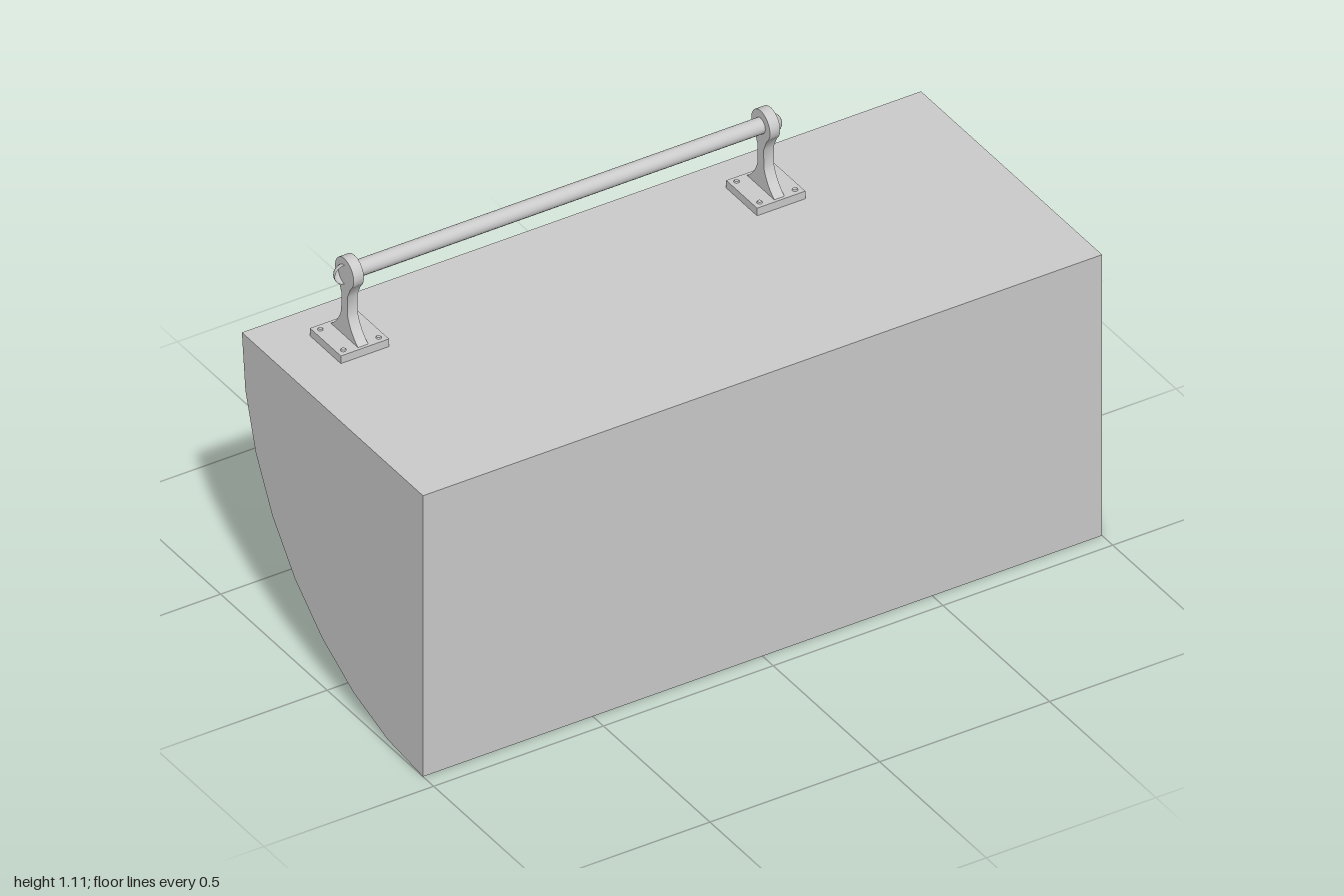
import * as THREE from 'three';
import { toCreasedNormals } from 'three/addons/utils/BufferGeometryUtils.js';

const mat = new THREE.MeshStandardMaterial({ color: 0xcccccc });
const thinMat = new THREE.MeshStandardMaterial({ color: 0xcccccc, side: THREE.DoubleSide });
const DEG = Math.PI / 180, STEP = 11.25;
const RECESS_LEFT = 0.057, RECESS_RIGHT = -0.61;

function add(parent, name, geometry, material = mat) {
  const mesh = new THREE.Mesh(geometry, material);
  mesh.name = name;
  parent.add(mesh);
  return mesh;
}

// Point on the rounded back, as (-z, y), from an angle below the top
const arc = (deg, r) => new THREE.Vector2(-0.45 + r * Math.cos(deg * DEG), 0.85 - r * Math.sin(deg * DEG));

// Extrudes a (-z, y) outline along x
function sideExtrude(shape, x0, x1, crease = 0.4, curveSegments = 8) {
  const g = new THREE.ExtrudeGeometry(shape, { depth: x1 - x0, bevelEnabled: false, curveSegments });
  g.rotateY(Math.PI / 2).translate(x0, 0, 0);
  return toCreasedNormals(g, crease);
}

// Quarter-round section, optionally cut back for the recess
function bodySection(recessed) {
  const pts = [new THREE.Vector2(-0.45, 0.85)];
  for (let i = 0; i <= 8; i++) {
    const a = i * STEP;
    if (recessed && i === 7) pts.push(arc(a - 4, 0.77));
    pts.push(arc(a, recessed && i > 1 && i < 7 ? 0.77 : 0.85));
    if (recessed && i === 1) pts.push(arc(a, 0.77));
  }
  return new THREE.Shape(pts);
}

// Overlapping slats with a stepped lower edge
function slatGeometry(index) {
  const cols = [[0, 0], [0.1, -0.018], [0.2, 0.032], [0.45, 0.032], [0.54, -0.018], [0.667, 0]];
  const edges = [STEP, 17.3, 29.2, 41.2, 54, 7 * STEP];
  const last = index === 4;
  const point = ([s, offset], edge, r) => {
    const straight = edge === 0 || edge === 5;
    const p = arc(edges[edge] + (straight ? 0 : offset / 0.81 / DEG), r);
    return [RECESS_LEFT - s, p.y, -p.x];
  };
  const rows = cols.map(c => [
    point(c, index, 0.799),
    point(c, index + 1, last ? 0.849 : 0.815),
    point(c, index + 1, last ? 0.835 : 0.797),
  ]);
  const pos = [];
  for (let j = 0; j < rows.length - 1; j++) {
    for (let k = 0; k < 2; k++) {
      const a = rows[j][k], b = rows[j][k + 1], c = rows[j + 1][k + 1], d = rows[j + 1][k];
      pos.push(...a, ...b, ...c, ...a, ...c, ...d);
    }
  }
  const g = new THREE.BufferGeometry();
  g.setAttribute('position', new THREE.Float32BufferAttribute(pos, 3));
  g.computeVertexNormals();
  return g;
}

// Flared post with a round eye at the top, as (-z, y)
function bracketShape() {
  const s = new THREE.Shape();
  const c = 0.225, eyeY = 1.061, r = 0.044;
  const a = -50 * DEG;
  s.moveTo(c - 0.068, 0.87);
  s.lineTo(c + 0.068, 0.87);
  s.quadraticCurveTo(c + 0.03, 0.895, c + 0.015, 0.94);
  s.lineTo(c + 0.014, 0.995);
  s.lineTo(c + r * Math.cos(a), eyeY + r * Math.sin(a));
  s.absarc(c, eyeY, r, a, Math.PI - a, false);
  s.lineTo(c - 0.014, 0.995);
  s.lineTo(c - 0.015, 0.94);
  s.quadraticCurveTo(c - 0.03, 0.895, c - 0.068, 0.87);
  return s;
}

// Domed head split by a slot, pointing along +x
function slottedHead() {
  const head = new THREE.Group();
  head.name = 'slottedHead';
  for (const side of [1, -1]) {
    const half = new THREE.Group();
    half.name = 'headHalf';
    add(half, 'dome', new THREE.SphereGeometry(0.028, 12, 6, 0, Math.PI, 0, Math.PI / 2), thinMat);
    add(half, 'slotWall', new THREE.CircleGeometry(0.028, 12, 0, Math.PI), thinMat);
    // Dome top to +x, flat side towards the slot
    const x = new THREE.Vector3(0, 0, -1), y = new THREE.Vector3(1, 0, 0), z = new THREE.Vector3(0, 1, 0);
    half.quaternion.setFromRotationMatrix(new THREE.Matrix4().makeBasis(x, y, z.clone()));
    if (side < 0) half.rotateY(Math.PI);
    half.position.y = side * 0.004;
    head.add(half);
  }
  return head;
}

export function createModel() {
  const model = new THREE.Group();
  model.name = 'housing';

  // Quarter-round body with a recess in its back
  add(model, 'bodyLeft', sideExtrude(bodySection(false), RECESS_LEFT, 1));
  add(model, 'bodyMiddle', sideExtrude(bodySection(true), RECESS_RIGHT, RECESS_LEFT));
  add(model, 'bodyRight', sideExtrude(bodySection(false), -1, RECESS_RIGHT));
  for (let i = 0; i < 5; i++) add(model, 'recessSlat', slatGeometry(i), thinMat);

  // Dome in a flared collar
  const lamp = new THREE.Group();
  lamp.name = 'domeLamp';
  const collar = [[0.207, -0.095], [0.148, 0], [0.13, 0]].map(p => new THREE.Vector2(...p));
  add(lamp, 'collar', toCreasedNormals(new THREE.LatheGeometry(collar, 32), 0.5), thinMat);
  add(lamp, 'dome', new THREE.SphereGeometry(0.14, 32, 16)).position.y = -0.007;
  lamp.position.set(0.565, 0.385, -0.31);
  lamp.quaternion.setFromUnitVectors(new THREE.Vector3(0, 1, 0), new THREE.Vector3(0, -0.51, -0.86).normalize());
  model.add(lamp);

  // Rail on two bolted brackets
  const rail = new THREE.Group();
  rail.name = 'handRail';
  const ends = [-0.793, 0.433];
  for (const x of ends) {
    const out = x < 0 ? -1 : 1;
    add(rail, 'basePlate', new THREE.BoxGeometry(0.142, 0.024, 0.145)).position.set(x, 0.861, -0.225);
    add(rail, 'bracket', sideExtrude(bracketShape(), x - 0.015, x + 0.015, 0.5));
    for (const dx of [-0.052, 0.052]) {
      for (const dz of [-0.054, 0.054]) {
        add(rail, 'plateScrew', new THREE.CylinderGeometry(0.006, 0.008, 0.005, 10))
          .position.set(x + dx, 0.8745, -0.225 + dz);
      }
    }
    const head = slottedHead();
    head.position.set(x + out * 0.015, 1.061, -0.225);
    if (out < 0) head.rotation.y = Math.PI;
    rail.add(head);
  }
  const bar = add(rail, 'bar', new THREE.CylinderGeometry(0.022, 0.022, ends[1] - ends[0], 20));
  bar.rotation.z = Math.PI / 2;
  bar.position.set((ends[0] + ends[1]) / 2, 1.061, -0.225);
  model.add(rail);

  return model;
}
